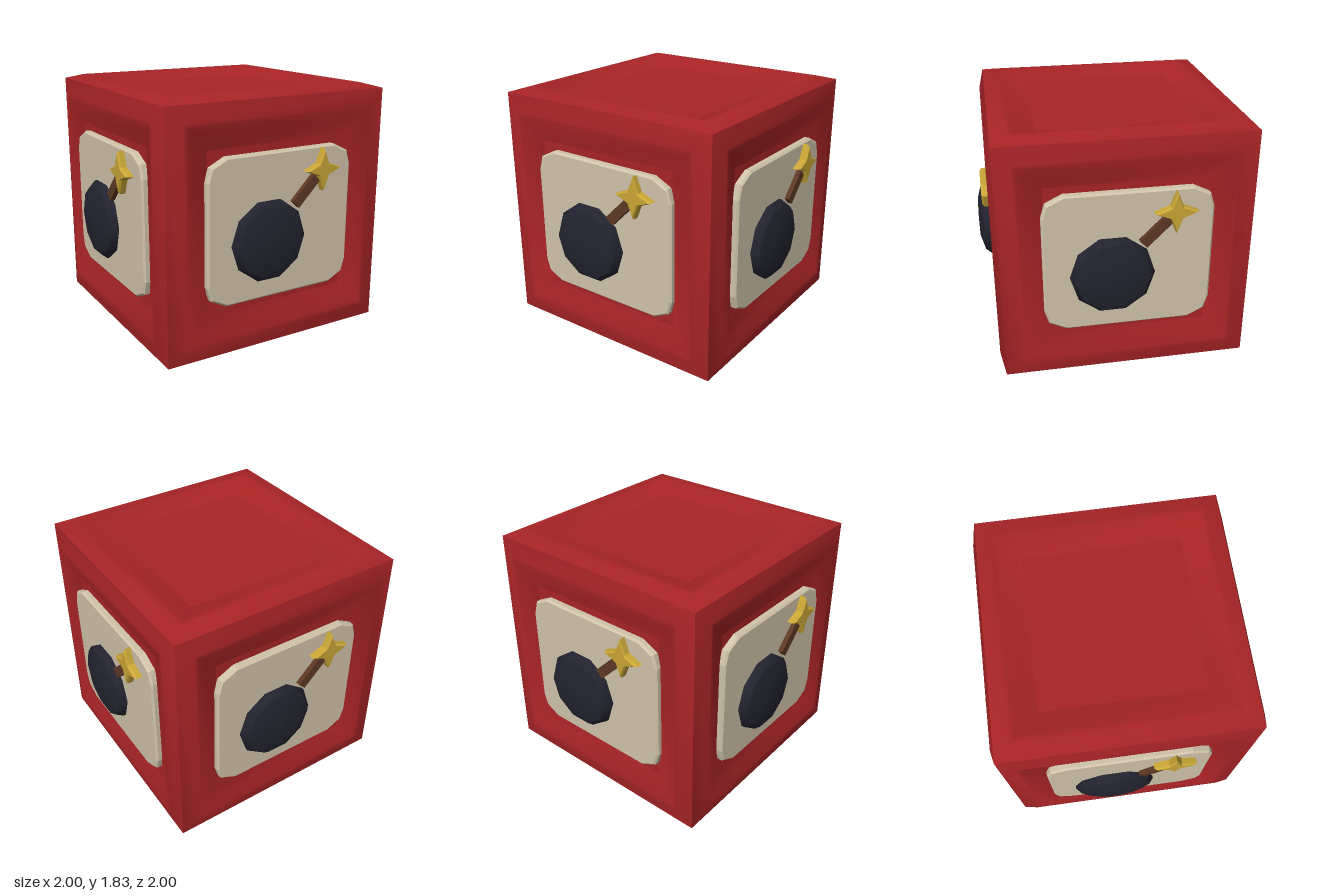
import * as THREE from 'three';

const H = 0.915; // half height of the block

const material = (name, color, flatShading = false) => {
  const m = new THREE.MeshStandardMaterial({ color, flatShading });
  m.name = name;
  return m;
};

function addMesh(parent, name, geometry, mat) {
  const mesh = new THREE.Mesh(geometry, mat);
  mesh.name = name;
  parent.add(mesh);
  return mesh;
}

// Concentric square rings [half size, height] joined into a face pointing to +z
function squareRings(rings, closed) {
  const pos = [], index = [];
  for (const [t, h] of rings) pos.push(-t, -t, h, t, -t, h, t, t, h, -t, t, h);
  for (let r = 0; r < rings.length - 1; r++) {
    for (let i = 0; i < 4; i++) {
      const a = r * 4 + i, b = r * 4 + (i + 1) % 4;
      index.push(a, b, b + 4, a, b + 4, a + 4);
    }
  }
  if (closed) index.push(0, 1, 2, 0, 2, 3);
  const g = new THREE.BufferGeometry();
  g.setAttribute('position', new THREE.Float32BufferAttribute(pos, 3));
  g.setIndex(index);
  g.computeVertexNormals();
  return g;
}

function polygonShape(points) {
  return new THREE.Shape(points.map(([x, y]) => new THREE.Vector2(x, y)));
}

// Extruded plate from height `back` to `front`, with a small bevelled front edge
function plate(shape, back, front, bevel) {
  const g = new THREE.ExtrudeGeometry(shape, {
    depth: front - back - 2 * bevel, bevelEnabled: true, bevelSegments: 1,
    bevelSize: bevel, bevelThickness: bevel, bevelOffset: -bevel,
  });
  return g.translate(0, 0, back + bevel);
}

export function createModel() {
  const red = material('red block', 0xa92426);
  const cream = material('cream panel', 0xd0c3aa);
  const navy = material('dark navy', 0x22232f);
  const brown = material('brown fuse', 0x5e3824);
  const gold = material('gold spark', 0xcaa636);

  const model = new THREE.Group();
  model.name = 'block';
  const body = new THREE.Group();
  body.name = 'body';
  body.position.y = H;
  model.add(body);

  // Six block sides: bevelled rim, raised ridge, slope, sunken floor
  const rim = squareRings([[0.88, 0.88], [0.765, H], [0.735, 0.91], [0.7, 0.898], [0.57, 0.855]], false);
  const floor = squareRings([[0.57, 0.855]], true);
  const turns = [[0, 0], [0, Math.PI / 2], [0, Math.PI], [0, -Math.PI / 2], [Math.PI / 2, 0], [-Math.PI / 2, 0]];

  // Panel with clipped corners
  const corner = [[0.59, 0.36], [0.56, 0.46], [0.44, 0.52]];
  const back = [...corner].reverse();
  const panelGeo = plate(polygonShape([
    ...corner, ...back.map(([x, y]) => [-x, y]),
    ...corner.map(([x, y]) => [-x, -y]), ...back.map(([x, y]) => [x, -y]),
  ]), 0.83, 0.905, 0.014);

  // Ten-sided domed ball: flat outer band and smooth dome
  const lathe = (pts) => new THREE.LatheGeometry(pts.map(([r, y]) => new THREE.Vector2(r, y)), 10)
    .rotateX(Math.PI / 2).rotateZ(Math.PI / 2);
  const bandGeo = lathe([[0.295, 0.86], [0.295, 0.925], [0.262, 0.963]]);
  const domeGeo = lathe([[0.262, 0.963], [0.15, 0.996], [0, 1]]);

  // Four-pointed spark
  const star = [];
  for (let i = 0; i < 8; i++) {
    const r = i % 2 ? 0.062 : 0.152, a = i * Math.PI / 4;
    star.push([r * Math.cos(a), r * Math.sin(a)]);
  }
  // Tapered rings keep the thin points clean
  const starRing = (s) => star.map(([x, y]) => [x * s, y * s]);
  const sparkPos = [], layers = [[0.9, 0.88], [1, 0.9], [1, 0.945], [0.86, 0.96]];
  for (let k = 0; k < 3; k++) {
    const lo = starRing(layers[k][0]), hi = starRing(layers[k + 1][0]);
    const zl = layers[k][1], zh = layers[k + 1][1];
    for (let i = 0; i < 8; i++) {
      const j = (i + 1) % 8;
      sparkPos.push(...lo[i], zl, ...lo[j], zl, ...hi[j], zh, ...lo[i], zl, ...hi[j], zh, ...hi[i], zh);
      if (k === 2) sparkPos.push(0, 0, zh, ...hi[i], zh, ...hi[j], zh);
    }
  }
  const sparkGeo = new THREE.BufferGeometry();
  sparkGeo.setAttribute('position', new THREE.Float32BufferAttribute(sparkPos, 3));
  sparkGeo.computeVertexNormals();

  const fuseGeo = new THREE.BoxGeometry(0.245, 0.072, 0.08);

  turns.forEach(([rx, ry], i) => {
    const side = new THREE.Group();
    side.name = 'side' + (i + 1);
    side.rotation.set(rx, ry, 0);
    body.add(side);
    addMesh(side, 'rim', rim, red);
    addMesh(side, 'sunkenFloor', floor, red);
    if (i > 3) return; // top and bottom stay plain

    addMesh(side, 'panel', panelGeo, cream);
    for (const [name, geo] of [['ballBand', bandGeo], ['ballDome', domeGeo]]) {
      addMesh(side, name, geo, navy).position.set(-0.113, -0.095, 0);
    }
    const fuse = addMesh(side, 'fuse', fuseGeo, brown);
    fuse.position.set(0.18, 0.22, 0.9);
    fuse.rotation.z = Math.PI / 4;
    addMesh(side, 'spark', sparkGeo, gold).position.set(0.317, 0.358, 0);
  });

  return model;
}
